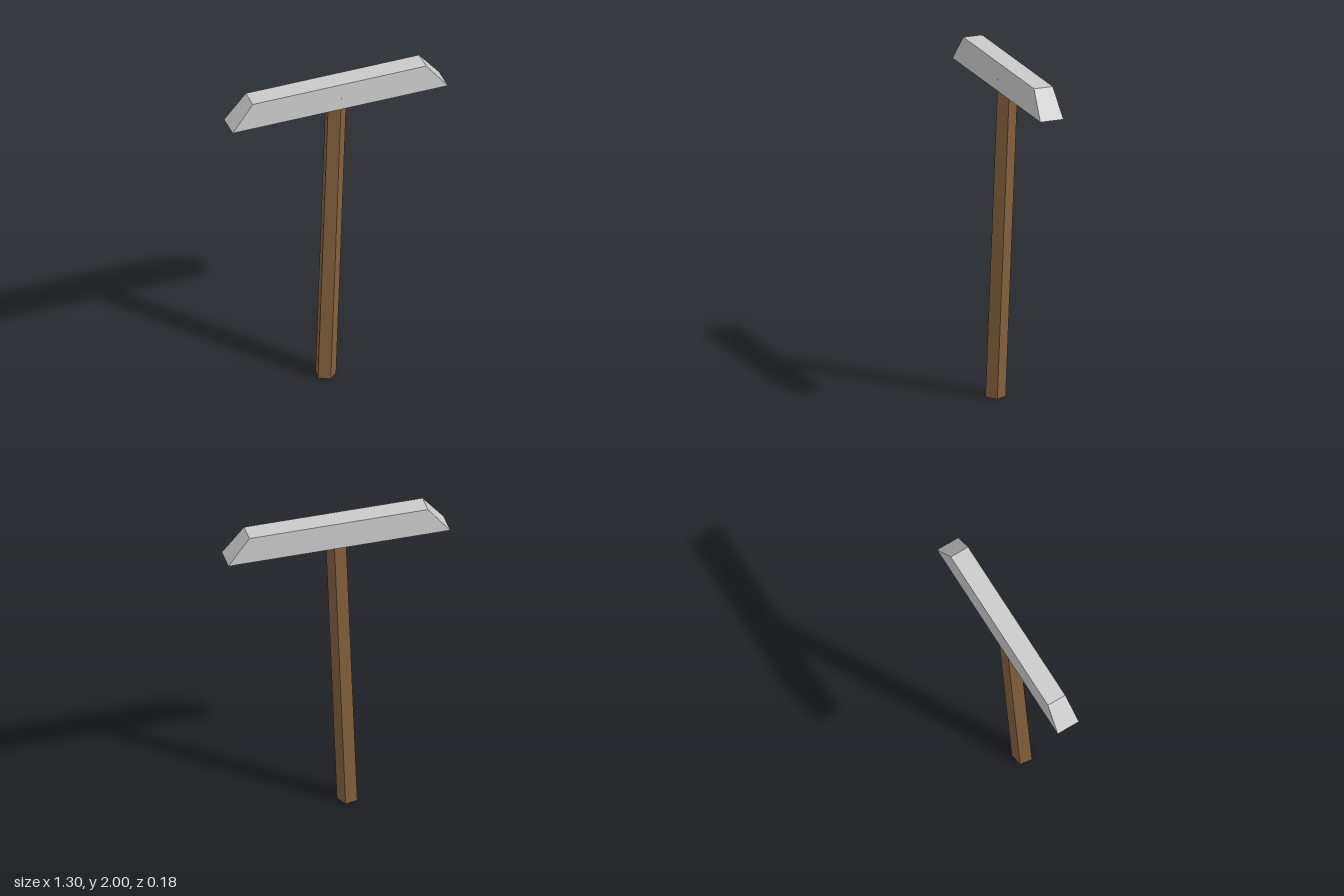
import * as THREE from 'three';

export function createModel() {
  const model = new THREE.Group();
  const wood = new THREE.MeshStandardMaterial({ name: 'brown wood', color: 0x85613d, flatShading: true });
  const metal = new THREE.MeshStandardMaterial({ name: 'light grey metal', color: 0xcacaca, flatShading: true });

  // Five-sided handle, leaning slightly and ending inside the head
  const foot = new THREE.Vector3(-0.082, 0.003, 0.027);
  const tip = new THREE.Vector3(-0.002, 1.92, -0.016);
  const axis = tip.clone().sub(foot);
  const handle = new THREE.Mesh(
    new THREE.CylinderGeometry(0.062, 0.062, axis.length(), 5, 1, false, THREE.MathUtils.degToRad(9)),
    wood
  );
  handle.name = 'handle';
  handle.position.copy(foot).lerp(tip, 0.5);
  handle.quaternion.setFromUnitVectors(new THREE.Vector3(0, 1, 0), axis.normalize());
  model.add(handle);

  // Head: a bar whose top face is narrower than its base
  const bar = new THREE.BoxGeometry(1.3, 0.16, 0.141);
  const p = bar.attributes.position;
  for (let i = 0; i < p.count; i++) {
    if (p.getY(i) > 0) {
      p.setX(i, p.getX(i) * 0.805);
      p.setZ(i, p.getZ(i) * 0.815);
    }
  }
  bar.computeVertexNormals();
  const head = new THREE.Mesh(bar, metal);
  head.name = 'head';
  head.position.set(0, 1.92, -0.02);
  model.add(head);

  return model;
}
